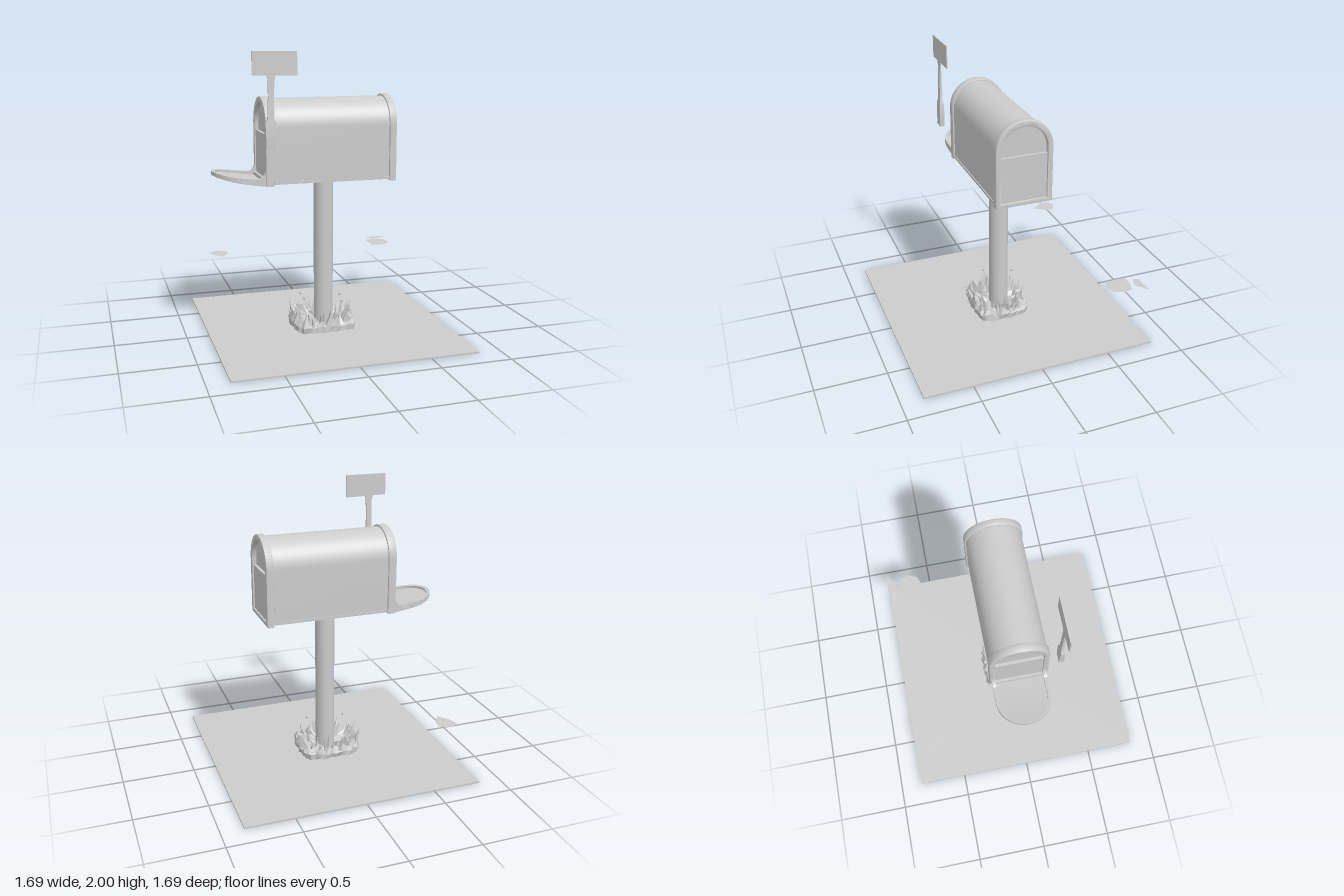
import * as THREE from 'three';
import { toCreasedNormals } from 'three/addons/utils/BufferGeometryUtils.js';

const smooth = new THREE.MeshStandardMaterial({ color: 0xcccccc });
const faceted = new THREE.MeshStandardMaterial({ color: 0xcccccc, flatShading: true, side: THREE.DoubleSide });
const thin = new THREE.MeshStandardMaterial({ color: 0xcccccc, side: THREE.DoubleSide });

let seed = 7;
const rnd = () => (seed = (seed * 16807) % 2147483647) / 2147483647;

function add(parent, name, geometry, x = 0, y = 0, z = 0, material = smooth) {
  const mesh = new THREE.Mesh(geometry, material);
  mesh.name = name;
  mesh.position.set(x, y, z);
  parent.add(mesh);
  return mesh;
}

// Round-topped outline: half width r, from y0 up to a half circle sprung at ySpring
function arch(Type, r, y0, ySpring) {
  const p = new Type();
  p.moveTo(-r, y0);
  p.lineTo(r, y0);
  p.lineTo(r, ySpring);
  p.absarc(0, ySpring, r, 0, Math.PI, false);
  p.closePath();
  return p;
}

// Extrudes an outline drawn in (z, y) along x, from x0 to x1
function alongX(parent, name, shape, x0, x1, bevel = 0) {
  const g = new THREE.ExtrudeGeometry(shape, {
    depth: x1 - x0 - 2 * bevel, curveSegments: 28, bevelEnabled: bevel > 0,
    bevelSize: bevel, bevelThickness: bevel, bevelOffset: -bevel, bevelSegments: 2,
  });
  g.translate(0, 0, bevel);
  g.rotateY(Math.PI / 2);
  return add(parent, name, toCreasedNormals(g, 0.6), x0, 0, 0);
}

function createBox() {
  const box = new THREE.Group();
  box.name = 'mailbox';
  alongX(box, 'body', arch(THREE.Shape, 0.19, 1.1, 1.485), -0.43, 0.45);
  // Raised collars around both ends
  for (const [name, x0, x1] of [['openingCollar', -0.46, -0.4], ['backCollar', 0.43, 0.482]]) {
    const s = arch(THREE.Shape, 0.202, 1.09, 1.487);
    s.holes.push(arch(THREE.Path, 0.163, 1.12, 1.482));
    alongX(box, name, s, x0, x1, 0.008);
  }
  // Lower end panels, leaving a deeper arched recess above
  add(box, 'backPanel', new THREE.BoxGeometry(0.03, 0.33, 0.34), 0.455, 1.275, 0);
  add(box, 'openingPanel', new THREE.BoxGeometry(0.03, 0.33, 0.34), -0.435, 1.275, 0);
  for (const s of [-1, 1]) {
    add(box, 'bottomHem', new THREE.BoxGeometry(0.84, 0.018, 0.012), 0.02, 1.111, s * 0.19);
  }
  return box;
}

// Lowered door: a shallow tray that curves up towards its rounded tip
function createDoor() {
  const door = new THREE.Group();
  door.name = 'door';
  const hinge = -0.44, tip = -0.8, r = 0.19;
  const halfWidth = (x, rad) => {
    const d = Math.max(0, -0.61 - x);
    return Math.sqrt(Math.max(0, rad * rad - d * d));
  };
  // Local y of 0..1 becomes the curved thickness of the tray
  const bend = (g) => {
    const p = g.attributes.position;
    for (let i = 0; i < p.count; i++) {
      const t = (p.getX(i) - hinge) / (tip - hinge);
      p.setY(i, 1.09 + 0.035 * t + 0.035 * t * t + p.getY(i) * (0.05 - 0.024 * t));
    }
    return toCreasedNormals(g, 0.6);
  };
  const outline = (rad, x0) => {
    const pts = [];
    for (let i = 0; i <= 6; i++) pts.push(new THREE.Vector2(x0 + (-0.61 - x0) * i / 6, rad));
    for (let i = 1; i < 24; i++) {
      const a = Math.PI * i / 24;
      pts.push(new THREE.Vector2(-0.61 - rad * Math.sin(a), rad * Math.cos(a)));
    }
    for (let i = 6; i >= 0; i--) pts.push(new THREE.Vector2(x0 + (-0.61 - x0) * i / 6, -rad));
    return pts;
  };
  const shape = new THREE.Shape(outline(r, hinge));
  shape.holes.push(new THREE.Path(outline(r - 0.026, hinge - 0.03)));
  const rim = new THREE.ExtrudeGeometry(shape, { depth: 1, bevelEnabled: false });
  rim.rotateX(-Math.PI / 2);
  add(door, 'doorRim', bend(rim));

  const panel = new THREE.BoxGeometry(0.35, 0.5, 2, 24, 1, 1);
  panel.translate(hinge - 0.175, 0.27, 0);
  const p = panel.attributes.position;
  for (let i = 0; i < p.count; i++) p.setZ(i, p.getZ(i) * halfWidth(p.getX(i), r - 0.012));
  add(door, 'doorPanel', bend(panel));

  // Concave fillet joining the tray to the collar
  const f = new THREE.Shape();
  f.moveTo(-0.52, 1.11);
  f.lineTo(-0.44, 1.1);
  f.lineTo(-0.44, 1.21);
  f.lineTo(-0.458, 1.21);
  f.quadraticCurveTo(-0.462, 1.145, -0.52, 1.138);
  for (const s of [-1, 1]) {
    const g = new THREE.ExtrudeGeometry(f, { depth: 0.026, bevelEnabled: false });
    add(door, 'hingeFillet', toCreasedNormals(g, 0.6), 0, 0, s * 0.177 - 0.013);
  }
  return door;
}

function createFlag() {
  const flag = new THREE.Group();
  flag.name = 'signalFlag';
  // Arm as rectangular sections: [y, x centre, half width, half depth]
  const sections = [[1.36, -0.443, 0.032, 0.016], [1.42, -0.443, 0.034, 0.018], [1.53, -0.443, 0.037, 0.014],
    [1.56, -0.441, 0.022, 0.011], [1.7, -0.439, 0.019, 0.007], [1.81, -0.437, 0.022, 0.005], [1.85, -0.435, 0.032, 0.004]];
  const arm = new THREE.BoxGeometry(2, 1, 2, 1, sections.length - 1, 1);
  const p = arm.attributes.position;
  for (let i = 0; i < p.count; i++) {
    const [y, x, w, d] = sections[Math.round((p.getY(i) + 0.5) * (sections.length - 1))];
    p.setXYZ(i, x + p.getX(i) * w, y, 0.277 + p.getZ(i) * d);
  }
  add(flag, 'flagArm', toCreasedNormals(arm, 0.5));
  const plate = new THREE.Shape([[-0.565, 1.845], [-0.26, 1.84], [-0.26, 2], [-0.565, 2]].map(v => new THREE.Vector2(...v)));
  add(flag, 'flagPlate', new THREE.ExtrudeGeometry(plate, { depth: 0.008, bevelEnabled: false }), 0, 0, 0.273);
  return flag;
}

// Ragged grass tuft: a squarish jagged mound with pointed blades
function createGrass() {
  const grass = new THREE.Group();
  grass.name = 'grassTuft';
  const point = (a, k) => {
    const q = k / Math.pow(Math.cos(a) ** 4 + Math.sin(a) ** 4, 0.25);
    return [-0.015 + 0.225 * q * Math.cos(a), 0.012 + 0.2 * q * Math.sin(a)];
  };
  const n = 60, pos = [], idx = [];
  const rows = [[0.98, 0.008, 0], [1, 0.05, 0.015], [0.92, 0.075, 0.075], [0.72, 0.06, 0.06], [0.5, 0.05, 0.05], [0.2, 0.04, 0]];
  rows.forEach(([k, y, jag], j) => {
    for (let i = 0; i < n; i++) {
      const [x, z] = point(2 * Math.PI * i / n, k * (0.94 + 0.1 * rnd()));
      pos.push(x, y + jag * (rnd() * rnd() * 1.4 - 0.15), z);
      if (j === rows.length - 1) continue;
      const a = j * n + i, b = j * n + (i + 1) % n;
      idx.push(a, a + n, b, b, a + n, b + n);
    }
  });
  const mound = new THREE.BufferGeometry();
  mound.setAttribute('position', new THREE.Float32BufferAttribute(pos, 3));
  mound.setIndex(idx);
  mound.computeVertexNormals();
  add(grass, 'grassMound', mound, 0, 0, 0, faceted);

  for (let i = 0; i < 34; i++) {
    const a = 2 * Math.PI * (i + rnd() * 0.6) / 34;
    const [x, z] = point(a, 0.6 + 0.32 * rnd());
    const h = 0.07 + 0.08 * rnd();
    const g = new THREE.ConeGeometry(0.013 + 0.012 * rnd(), h, 4, 3);
    g.translate(0, h / 2, 0);
    const p = g.attributes.position, lean = 0.01 + 0.035 * rnd();
    for (let v = 0; v < p.count; v++) p.setX(v, p.getX(v) + lean * (p.getY(v) / h) ** 2);
    add(grass, 'grassBlade', g, x, 0.05, z, faceted).rotation.y = -a;
  }
  // Two long outward blades and a few loose specks
  for (const [x, z, tilt] of [[-0.225, 0.02, 0.45], [0.2, -0.03, -0.4]]) {
    add(grass, 'longBlade', new THREE.ConeGeometry(0.016, 0.13, 4), x, 0.115, z, faceted).rotation.z = tilt;
  }
  for (const [x, y, z] of [[-0.16, 0.235, 0.06], [0.1, 0.215, 0.13], [-0.13, 0.205, -0.16], [0.15, 0.2, -0.07]]) {
    add(grass, 'grassSpeck', new THREE.OctahedronGeometry(0.01), x, y, z, faceted).scale.y = 1.5;
  }
  return grass;
}

export function createModel() {
  const model = new THREE.Group();
  model.name = 'mailboxScene';
  add(model, 'ground', new THREE.BoxGeometry(1.69, 0.012, 1.69), 0, 0.006, 0);
  add(model, 'post', new THREE.CylinderGeometry(0.069, 0.07, 1.1, 32), 0.002, 0.556, 0);
  model.add(createBox(), createDoor(), createFlag(), createGrass());

  // Thin flakes hovering over the back corners, outlined in (x, z)
  const flakes = [
    [[-0.72, -0.71], [-0.65, -0.745], [-0.575, -0.705], [-0.585, -0.64], [-0.64, -0.56], [-0.7, -0.64]],
    [[0.59, -0.745], [0.66, -0.745], [0.74, -0.72], [0.75, -0.65], [0.73, -0.59], [0.66, -0.56], [0.59, -0.58]],
    [[0.64, -0.83], [0.79, -0.83], [0.7, -0.76], [0.62, -0.79]],
  ];
  for (const f of flakes) {
    const g = new THREE.ShapeGeometry(new THREE.Shape(f.map(([x, z]) => new THREE.Vector2(x, -z))));
    g.rotateX(-Math.PI / 2);
    add(model, 'flake', g, 0, 0.418, 0, thin);
  }
  return model;
}
